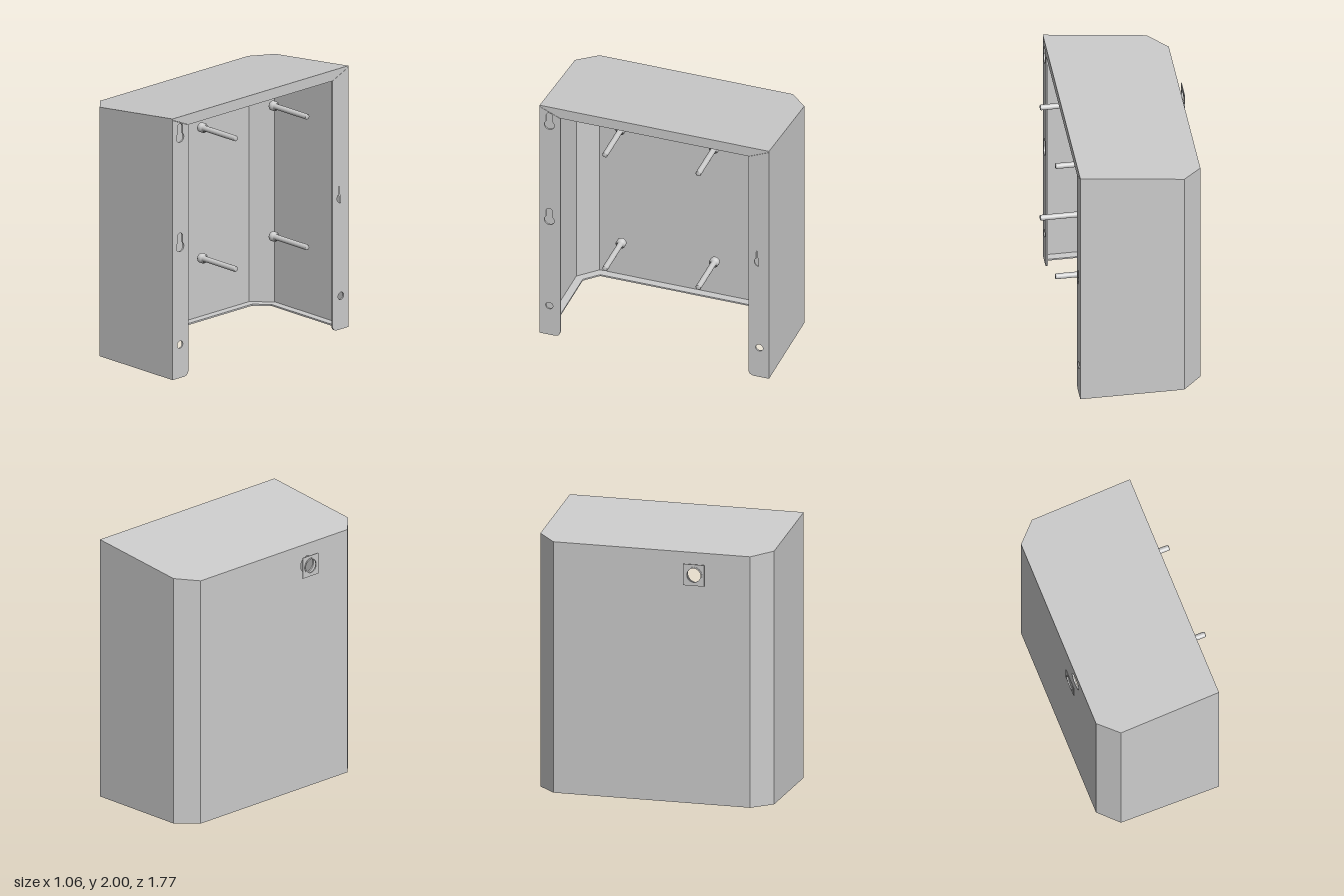
import * as THREE from 'three';

const T = 0.012;                                   // sheet thickness
const X0 = -0.485, X1 = 0.42, ZW = 0.885, CH = 0.14; // footprint and corner chamfer
const topY = (x) => 1.89 + (x - X0) * 0.1215;      // sloping roof
const mat = new THREE.MeshStandardMaterial({ color: 0xcccccc, side: THREE.DoubleSide });

const shapeOf = (pts) => new THREE.Shape(pts.map(([a, b]) => new THREE.Vector2(a, b)));

// Half of the footprint, inset by d: open back edge, chamfer start, chamfer end
const half = (d, s) => [
  [X1 - T, s * (ZW - d)],
  [X0 + CH + 0.414 * d, s * (ZW - d)],
  [X0 + d, s * (ZW - CH - 0.414 * d)],
];
const outline = (d) => [...half(d, 1), ...half(d, -1).reverse()];

// Prism over an (x, z) polygon between two height functions
function slab(pts, lo, hi) {
  const g = new THREE.ExtrudeGeometry(shapeOf(pts), { depth: 1, bevelEnabled: false });
  g.rotateX(Math.PI / 2);
  const p = g.attributes.position;
  for (let i = 0; i < p.count; i++) {
    const x = p.getX(i), k = 1 + p.getY(i);
    p.setY(i, lo(x) + (hi(x) - lo(x)) * k);
  }
  g.computeVertexNormals();
  return g;
}

// Sheet in the (z, y) plane whose outer (+x) face lies at x
function panel(shape, x, depth = T) {
  const g = new THREE.ExtrudeGeometry(shape, { depth, bevelEnabled: false, curveSegments: 16 });
  return g.rotateY(-Math.PI / 2).translate(x, 0, 0);
}

const circle = (z, y, r) => new THREE.Path().absarc(z, y, r, 0, Math.PI * 2, false);

function keyhole(z, y, r = 0.038, w = 0.025) {
  const a = Math.asin(w / r);
  const p = new THREE.Path();
  p.absarc(z, y, r, Math.PI / 2 + a, Math.PI * 2.5 - a, false);
  p.absarc(z, y + 0.08, w, 0, Math.PI, false);
  p.closePath();
  return p;
}

export function createModel() {
  const model = new THREE.Group();
  const add = (name, geo) => {
    const m = new THREE.Mesh(geo, mat);
    m.name = name;
    model.add(m);
    return m;
  };

  // Roof with its folded rear flange
  const roof = outline(0);
  roof[0][0] = roof[5][0] = X1;
  add('roof', slab(roof, (x) => topY(x) - T, topY));
  add('roofFlange', panel(shapeOf([
    [-ZW, 1.99], [-0.725, 1.92], [0.725, 1.92], [ZW, 1.99],
  ]), X1));

  // Side walls with chamfered corners, and rear mounting flanges
  for (const s of [1, -1]) {
    const side = s > 0 ? 'left' : 'right';
    add(side + 'Wall', slab([...half(0, s), ...half(T, s).reverse()], () => 0, (x) => topY(x) - T));

    const f = new THREE.Shape();
    f.moveTo(s * ZW, 0);
    f.lineTo(s * 0.775, 0);
    f.quadraticCurveTo(s * 0.725, 0, s * 0.725, 0.05);
    f.lineTo(s * 0.725, 1.918);
    f.lineTo(s * ZW, 1.988);
    f.closePath();
    f.holes.push(keyhole(s * 0.81, 1.842), keyhole(s * 0.81, 1.005), circle(s * 0.81, 0.255, 0.028));
    add(side + 'MountingFlange', panel(f, X1));
  }

  // Large panel with the round opening behind the badge
  const w = ZW - CH;
  const face = shapeOf([[-w, 0], [w, 0], [w, topY(X0) - T], [-w, topY(X0) - T]]);
  face.holes.push(circle(0.335, 1.73, 0.065));
  add('mainPanel', panel(face, X0 + T));

  // Inward lip around the open underside
  add('bottomLip', slab([...outline(0), ...outline(0.07).reverse()], () => 0, () => T));

  // Thin badge plate standing off the panel, with a raised ring
  const plate = shapeOf([[0.25, 1.65], [0.408, 1.65], [0.408, 1.81], [0.25, 1.81]]);
  plate.holes.push(circle(0.33, 1.73, 0.052));
  add('badgePlate', panel(plate, -0.521, 0.006));
  const ring = new THREE.Shape().absarc(0.33, 1.73, 0.062, 0, Math.PI * 2, false);
  ring.holes.push(circle(0.33, 1.73, 0.052));
  add('badgeRing', panel(ring, -0.527, 0.004));

  // Four socket-head bolts pointing out of the open back
  const profile = [
    [0, 0.02], [0.02, 0.02], [0.02, 0], [0.032, 0], [0.036, 0.005], [0.036, 0.04],
    [0.021, 0.04], [0.021, 0.37], [0.016, 0.376], [0, 0.376],
  ].map(([r, h]) => new THREE.Vector2(r, h));
  const bolt = new THREE.LatheGeometry(profile, 24).rotateZ(-Math.PI / 2);
  for (const y of [0.75, 1.75]) {
    for (const z of [0.345, -0.375]) {
      add('bolt', bolt).position.set(0.149, y, z);
    }
  }
  return model;
}
